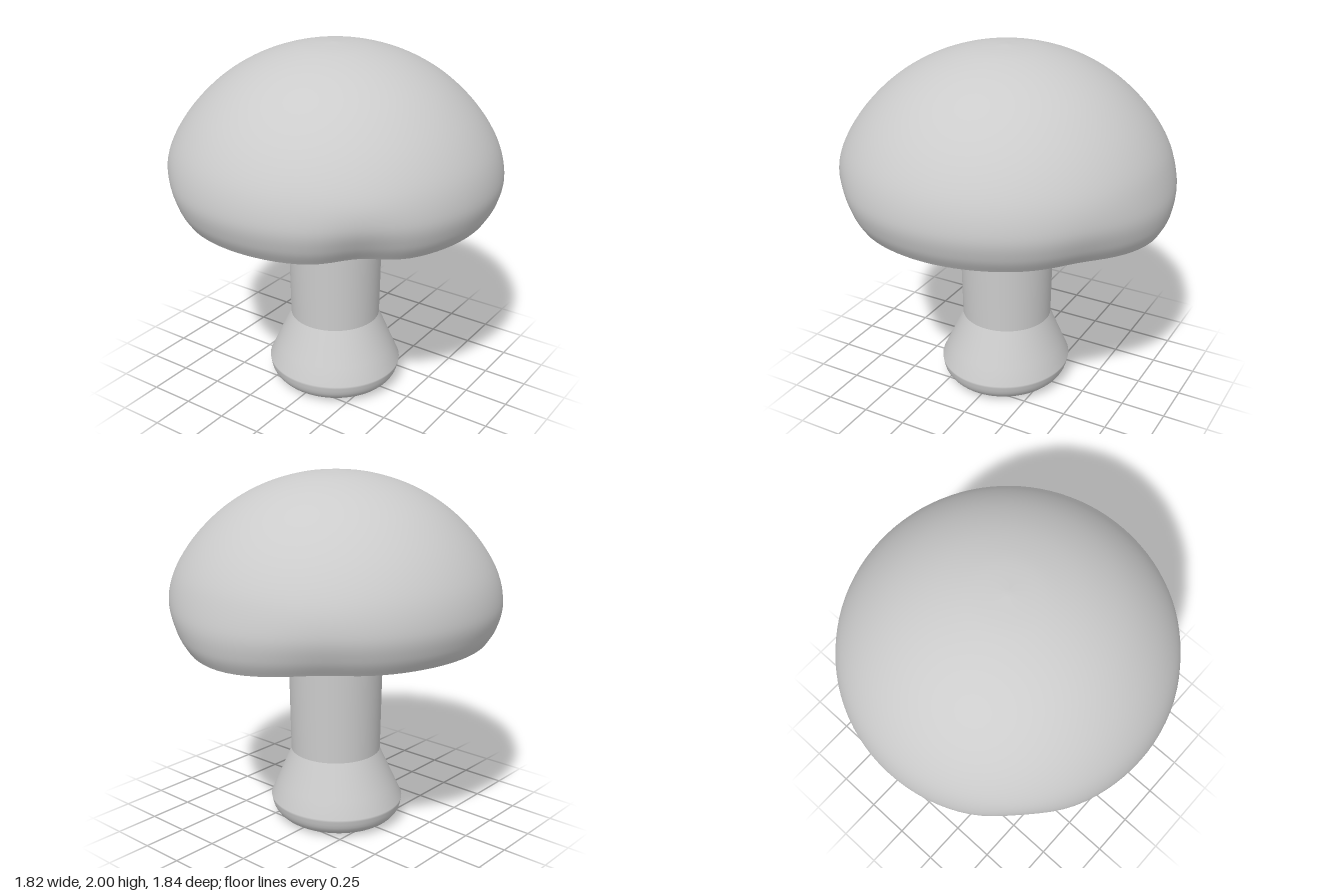
import * as THREE from 'three';
import { mergeVertices } from 'three/addons/utils/BufferGeometryUtils.js';

const material = new THREE.MeshStandardMaterial({ color: 0xcccccc, side: THREE.DoubleSide });

// Smooth lathe from [radius, height] points, with an optional rule that moves each vertex.
function turned(name, points, move) {
  let geo = new THREE.LatheGeometry(points.map(([r, y]) => new THREE.Vector2(r, y)), 96);
  const pos = geo.attributes.position;
  const v = new THREE.Vector3();
  if (move) {
    for (let i = 0; i < pos.count; i++) {
      move(v.fromBufferAttribute(pos, i));
      pos.setXYZ(i, v.x, v.y, v.z);
    }
  }
  geo.deleteAttribute('uv');
  geo.deleteAttribute('normal');
  geo = mergeVertices(geo, 1e-5);
  geo.computeVertexNormals();
  const mesh = new THREE.Mesh(geo, material);
  mesh.name = name;
  return mesh;
}

const curve = (pts, n) => new THREE.SplineCurve(pts.map(([x, y]) => new THREE.Vector2(x, y)))
  .getPoints(n).map((p) => [Math.max(p.x, 0), p.y]);

// Soft bump around an azimuth (0 = front, positive towards +x).
function bump(angle, centre, width) {
  const d = Math.atan2(Math.sin(angle - centre), Math.cos(angle - centre));
  return Math.exp(-((d / width) ** 2));
}

// Uneven rim: shallow dents on the diagonals, a drooping lip at the back.
const dents = [[-0.76, 0.035], [0.74, 0.04], [-2.5, 0.015], [2.5, 0.015]];
function unevenRim(v) {
  const r = Math.hypot(v.x, v.z);
  if (r < 0.3) return;
  const a = Math.atan2(v.x, v.z);
  const low = 1 - THREE.MathUtils.smoothstep(v.y, 1.1, 1.45);
  const edge = low * THREE.MathUtils.smoothstep(r, 0.5, 0.84);
  const dent = dents.reduce((sum, [c, s]) => sum + s * bump(a, c, 0.2), 0);
  const back = bump(a, Math.PI, 0.42);
  const scale = 1 + (edge * (0.035 * back - dent)) / r;
  v.x *= scale;
  v.z *= scale;
  v.y += edge * (0.4 * dent - 0.028 * back);
}

export function createModel() {
  const group = new THREE.Group();
  group.name = 'mushroom';

  // Domed cap, from the rim up to the crown
  const dome = curve([[0.845, 1.12], [0.89, 1.2], [0.912, 1.32], [0.87, 1.48], [0.76, 1.65],
    [0.6, 1.803], [0.41, 1.914], [0.2, 1.98], [0, 2]], 48);
  group.add(turned('capDome', dome, unevenRim));

  // Slightly hollow underside
  const under = curve([[0, 1.24], [0.25, 1.22], [0.5, 1.175], [0.72, 1.135], [0.845, 1.12]], 24);
  group.add(turned('capUnderside', under, unevenRim));

  // Straight stem running up into the cap
  group.add(turned('stem', [[0.255, 0.42], [0.259, 0.65], [0.263, 0.9], [0.267, 1.15], [0.268, 1.27]]));

  // Flared foot with a rounded lower edge
  const edge = curve([[0.27, 0.005], [0.33, 0.025], [0.37, 0.07], [0.385, 0.13]], 10);
  const foot = turned('stemFoot', [...edge, [0.342, 0.225], [0.299, 0.322], [0.255, 0.42]], (v) => {
    v.z = v.z * 0.965 + 0.01 * (1 - v.y / 0.42);
  });
  group.add(foot);

  // Flat sole
  const sole = new THREE.Mesh(new THREE.CircleGeometry(0.27, 64).rotateX(Math.PI / 2), material);
  sole.name = 'sole';
  sole.scale.z = 0.965;
  sole.position.set(0, 0.005, 0.01);
  group.add(sole);

  return group;
}
